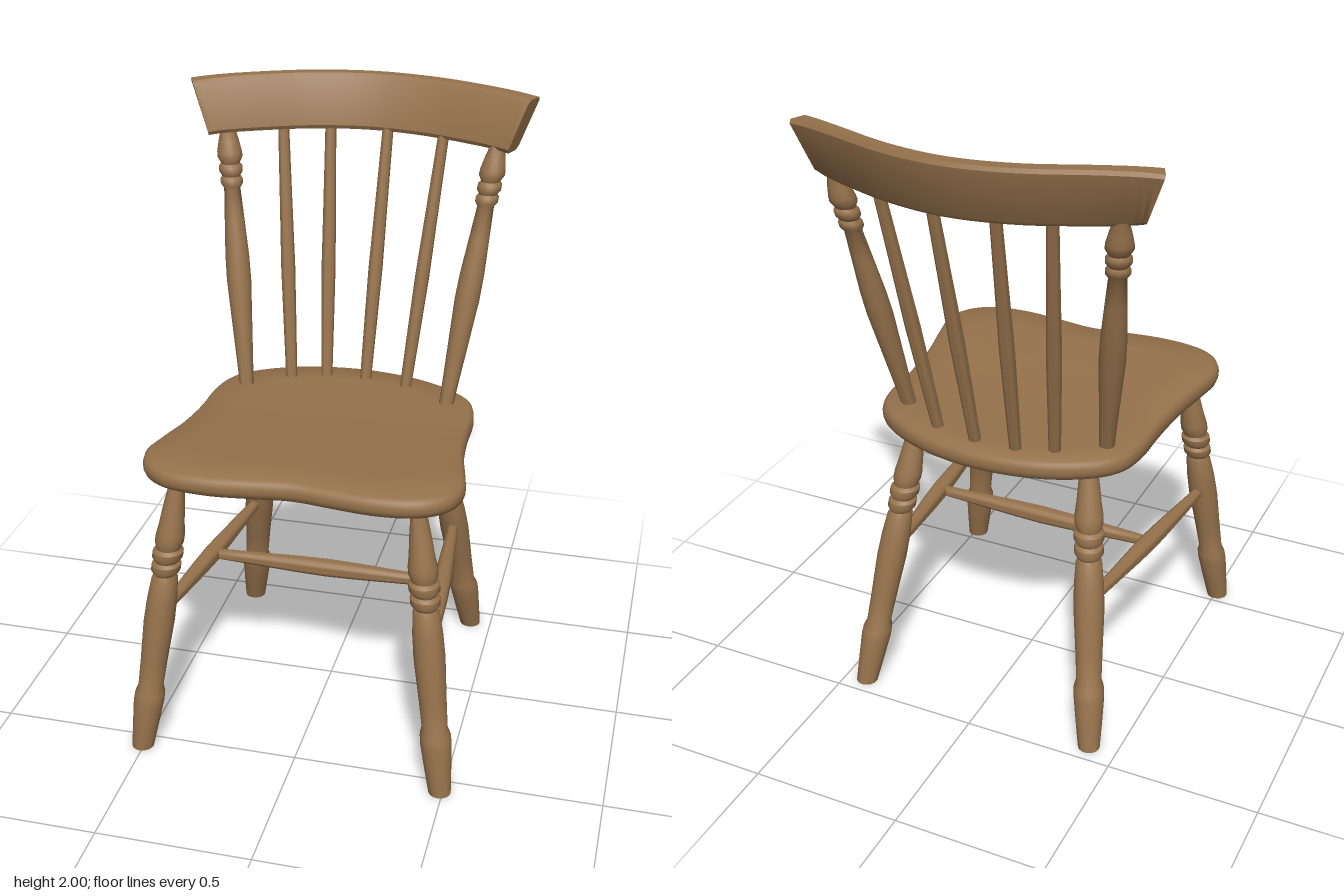
import * as THREE from 'three';
import { toCreasedNormals } from 'three/addons/utils/BufferGeometryUtils.js';

const V = (x, y, z) => new THREE.Vector3(x, y, z);

// Skins a list of closed rings (arrays of Vector3 of equal length).
function loft(rings, crease) {
  const n = rings[0].length, index = [];
  const geo = new THREE.BufferGeometry().setFromPoints(rings.flat());
  for (let i = 0; i < rings.length - 1; i++) {
    for (let j = 0; j < n; j++) {
      const k = (j + 1) % n, a = i * n + j, b = i * n + k, c = a + n, d = b + n;
      index.push(a, b, d, a, d, c);
    }
  }
  geo.setIndex(index);
  return toCreasedNormals(geo, crease);
}

// Turned part with a profile of [radius, 0..1] running from a to b.
function turned(profile, a, b, upright) {
  const pts = [[0, profile[0][1]], ...profile, [0, profile.at(-1)[1]]];
  const geo = toCreasedNormals(new THREE.LatheGeometry(pts.map(([r, t]) => new THREE.Vector2(r, t)), 20), 0.7);
  const axis = b.clone().sub(a);
  let x = V(1, 0, 0), z = V(0, 0, 1);
  if (!upright) {
    x = V(0, 1, 0).cross(axis).normalize();
    z = x.clone().cross(axis).normalize();
  }
  return geo.applyMatrix4(new THREE.Matrix4().makeBasis(x, axis, z).setPosition(a));
}

export function createModel() {
  const chair = new THREE.Group();
  chair.name = 'chair';
  const wood = new THREE.MeshStandardMaterial({ color: 0x96724c });
  wood.name = 'brown wood';
  const add = (name, geo) => {
    const mesh = new THREE.Mesh(geo, wood);
    mesh.name = name;
    chair.add(mesh);
  };

  // Seat: rounded outline with a shallow rise towards the front
  const half = [[0.13, 0.53], [0.27, 0.543], [0.4, 0.525], [0.475, 0.47], [0.505, 0.39], [0.49, 0.28],
    [0.464, 0.15], [0.45, 0], [0.446, -0.15], [0.42, -0.25], [0.35, -0.32], [0.2, -0.39]];
  const outline = new THREE.CatmullRomCurve3([
    V(0, 0, 0.515), ...half.map(([x, z]) => V(x, 0, z)),
    V(0, 0, -0.418), ...half.map(([x, z]) => V(-x, 0, z)).reverse(),
  ], true).getPoints(96).slice(0, -1);
  const seatRings = [[0, -0.033], [0.4, -0.033], [0.75, -0.033], [0.965, -0.033], [0.99, -0.024], [1, -0.008],
    [1, 0.008], [0.99, 0.024], [0.965, 0.033], [0.75, 0.032], [0.4, 0.03], [0, 0.029]];
  add('seat', loft(seatRings.map(([s, h]) => outline.map((p) => {
    const z = p.z * s;
    return V(p.x * s, 0.965 + h + 0.022 * THREE.MathUtils.smoothstep(z, -0.1, 0.45), z);
  })), 0.8));

  // Legs
  const legProfile = [[0.036, 0], [0.043, 0.08], [0.05, 0.17], [0.049, 0.2], [0.041, 0.225], [0.044, 0.32],
    [0.05, 0.46], [0.048, 0.54], [0.042, 0.61], [0.036, 0.625], [0.047, 0.64], [0.047, 0.66], [0.038, 0.67],
    [0.049, 0.685], [0.049, 0.705], [0.039, 0.715], [0.046, 0.735], [0.046, 0.76], [0.04, 0.8], [0.034, 0.86],
    [0.026, 0.92], [0.024, 0.96]].map(([r, y]) => [r, y / 0.96]);
  const legs = {
    frontLegLeft: [V(0.49, 0, 0.553), V(0.372, 0.96, 0.425)],
    frontLegRight: [V(-0.505, 0, 0.55), V(-0.385, 0.96, 0.425)],
    backLegLeft: [V(0.425, 0, -0.435), V(0.31, 0.96, -0.198)],
    backLegRight: [V(-0.405, 0, -0.435), V(-0.288, 0.96, -0.198)],
  };
  for (const [name, [a, b]] of Object.entries(legs)) add(name, turned(legProfile, a, b, true));

  // Stretchers: one along each side, one across
  const bar = [[0.017, 0], [0.021, 0.15], [0.028, 0.38], [0.03, 0.5], [0.028, 0.62], [0.021, 0.85], [0.017, 1]];
  const middles = ['Left', 'Right'].map((side) => {
    const at = (leg) => legs[leg + side][0].clone().lerp(legs[leg + side][1], 0.5);
    const a = at('frontLeg'), b = at('backLeg');
    add('sideStretcher' + side, turned(bar, a, b, false));
    return a.lerp(b, 0.5);
  });
  add('crossStretcher', turned(bar, ...middles, false));

  // Back posts
  const postProfile = [[0.024, 0.97], [0.026, 1.04], [0.033, 1.18], [0.041, 1.34], [0.04, 1.42], [0.033, 1.54],
    [0.027, 1.64], [0.037, 1.655], [0.037, 1.67], [0.03, 1.68], [0.039, 1.693], [0.039, 1.71], [0.031, 1.72],
    [0.042, 1.74], [0.041, 1.757], [0.034, 1.79], [0.026, 1.82], [0.025, 1.86]].map(([r, y]) => [r, (y - 0.97) / 0.89]);
  add('backPostLeft', turned(postProfile, V(0.34, 0.97, -0.205), V(0.452, 1.86, -0.412), true));
  add('backPostRight', turned(postProfile, V(-0.345, 0.97, -0.195), V(-0.455, 1.86, -0.402), true));

  // Back spindles
  const spindle = [[0.019, 0], [0.022, 0.25], [0.024, 0.45], [0.021, 0.7], [0.018, 1]];
  [[-0.212, -0.29, -0.282, -0.475], [-0.098, -0.33, -0.13, -0.522], [0.037, -0.335, 0.066, -0.528],
    [0.182, -0.305, 0.262, -0.485]].forEach(([x0, z0, x1, z1], i) =>
    add('spindle' + (i + 1), turned(spindle, V(x0, 0.97, z0), V(x1, 1.86, z1), true)));

  // Top rail: curved, leaning back, with ends flaring outwards at the top
  const path = new THREE.CatmullRomCurve3([[-0.568, -0.383], [-0.4, -0.46], [-0.2, -0.54], [0, -0.572],
    [0.2, -0.545], [0.4, -0.475], [0.56, -0.41]].map(([x, z]) => V(x, 0, z)));
  // section points: across the thickness, height from 0 to 1
  const section = [[-0.7, 1], [0.7, 1], [1, 0.93], [1, 0.07], [0.7, 0], [-0.7, 0], [-1, 0.07], [-1, 0.93]];
  const steps = 40, railRings = [];
  for (let i = 0; i <= steps; i++) {
    const t = i / steps, c = path.getPointAt(t), tan = path.getTangentAt(t);
    const end = Math.abs(2 * t - 1) ** 6;
    const front = V(-tan.z, 0, tan.x);
    const thick = 0.028 + 0.008 * end, top = 2 - 0.012 * end, low = 1.822;
    railRings.push(section.map(([u, v]) => {
      const p = c.clone().addScaledVector(front, u * thick + (1 - v) * 0.04);
      p.x *= 1 - 0.085 * (1 - v) * end;
      p.y = low + (top - low) * v;
      return p;
    }));
  }
  const cap = (ring) => {
    const mid = ring.reduce((s, p) => s.add(p), V(0, 0, 0)).divideScalar(ring.length);
    return ring.map(() => mid.clone());
  };
  add('topRail', loft([cap(railRings[0]), ...railRings, cap(railRings[steps])], 0.6));

  return chair;
}
